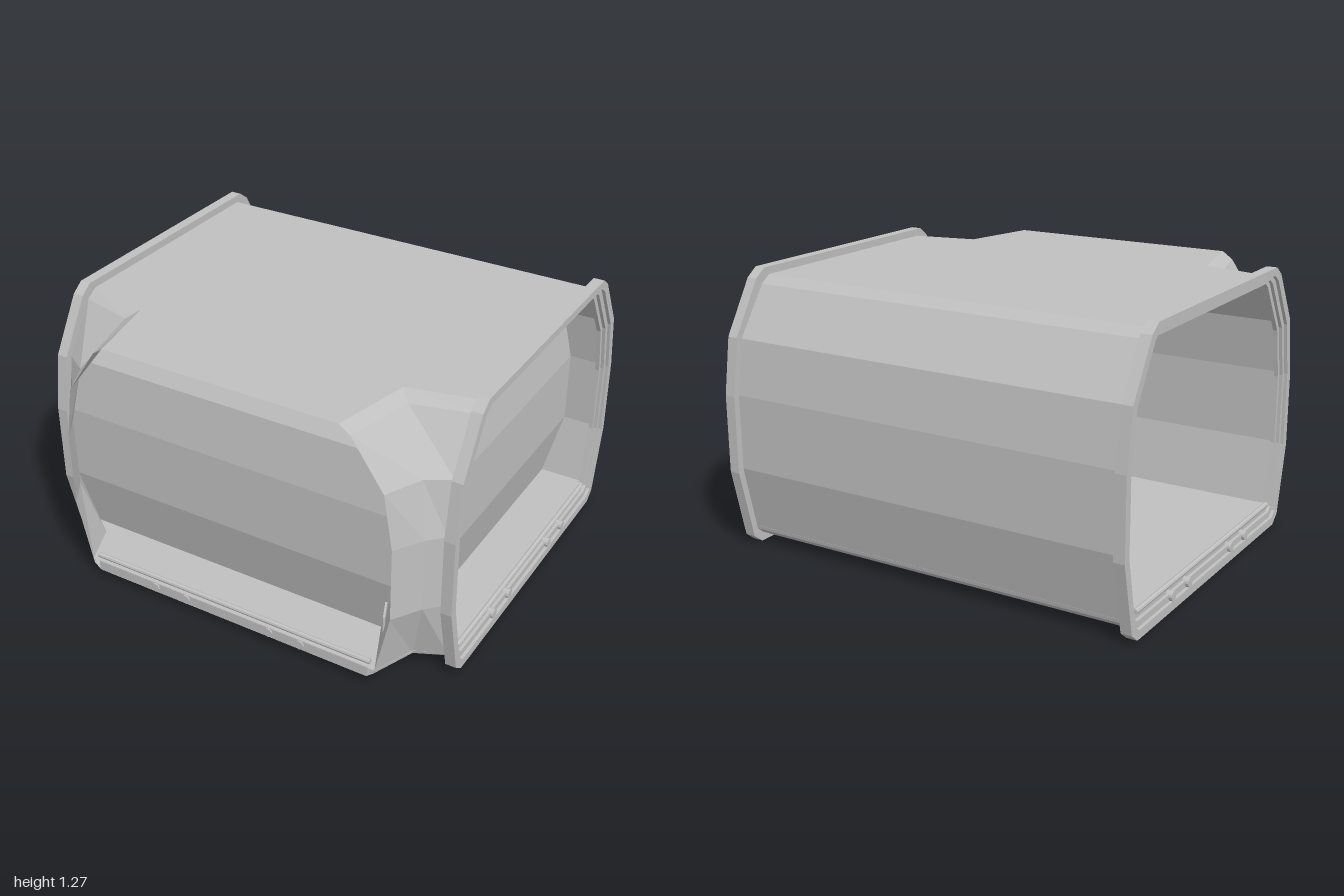
import * as THREE from 'three';

const CZ = -0.08;      // centre line of the long passage
const END = 0.95;      // where the side frames begin
const FRONT = 0.915;   // front opening

// half width and height of the faceted hull, from roof to floor
const HULL = [[0.565, 1.235], [0.615, 1.2], [0.765, 0.98], [0.805, 0.73],
  [0.805, 0.385], [0.735, 0.07], [0.70, 0.04]];
// half outlines of the stepped end frame
const RIM = [[0.595, 1.27], [0.65, 1.23], [0.795, 0.99], [0.835, 0.73], [0.835, 0.37], [0.76, 0.04], [0.71, 0]];
const STEP = [[0.575, 1.235], [0.62, 1.205], [0.758, 0.975], [0.797, 0.73], [0.797, 0.38], [0.73, 0.065], [0.695, 0.04]];
const LIP = [[0.56, 1.215], [0.59, 1.195], [0.733, 0.962], [0.775, 0.725], [0.775, 0.39], [0.712, 0.09], [0.685, 0.07]];
const HOLE = [[0.545, 1.2], [0.57, 1.18], [0.715, 0.95], [0.757, 0.72], [0.757, 0.395], [0.70, 0.105], [0.675, 0.09]];

export function createModel() {
  const grey = new THREE.MeshStandardMaterial({ color: 0xc0c0c0, side: THREE.DoubleSide });
  grey.name = 'hull grey';
  grey.flatShading = true;
  const model = new THREE.Group();
  model.name = 'corridorJunction';

  function add(name, geometry, x = 0, y = 0, z = 0, parent = model) {
    const mesh = new THREE.Mesh(geometry, grey);
    mesh.name = name;
    mesh.position.set(x, y, z);
    parent.add(mesh);
    return mesh;
  }

  // Faceted wall: each station gives [x, z] for a hull half width
  function wall(name, stations) {
    const pos = [];
    for (let j = 0; j < stations.length - 1; j++) {
      for (let i = 0; i < HULL.length - 1; i++) {
        const p = (s, k) => {
          const [x, z] = stations[s](HULL[k][0]);
          return [x, HULL[k][1], z];
        };
        const a = p(j, i), b = p(j, i + 1), c = p(j + 1, i + 1), d = p(j + 1, i);
        pos.push(...a, ...b, ...c, ...a, ...c, ...d);
      }
    }
    const g = new THREE.BufferGeometry();
    g.setAttribute('position', new THREE.Float32BufferAttribute(pos, 3));
    g.computeVertexNormals();
    add(name, g);
  }

  // Hull walls and bevelled corners
  const sideEdge = s => h => [s * END, h + CZ];
  const bevel = s => h => [s * (h + 0.08), h - 0.015];
  const frontEdge = s => h => [s * h, FRONT];
  wall('backWall', [h => [END, CZ - h], h => [-END, CZ - h]]);
  wall('leftCorner', [frontEdge(1), bevel(1), sideEdge(1)]);
  wall('rightCorner', [sideEdge(-1), bevel(-1), frontEdge(-1)]);

  // Recessed panels inside the front and left openings, and the slanted jamb
  wall('frontPanel', [sideEdge(-1), sideEdge(1)]);
  wall('sidePanel', [h => [h, h + CZ], h => [h, CZ - h]]);
  wall('frontJamb', [h => [h - 0.43 * (FRONT - h - CZ), h + CZ], frontEdge(1)]);

  // Roof, floor and underside share one plan outline
  function deck(name, h, y) {
    const half = [[END, CZ - h], [END, h + CZ], [h + 0.08, h - 0.015], [h, FRONT]];
    const plan = [...half, ...half.map(([x, z]) => [-x, z]).reverse()];
    const g = new THREE.ShapeGeometry(new THREE.Shape(plan.map(([x, z]) => new THREE.Vector2(x, -z))));
    g.rotateX(-Math.PI / 2);
    add(name, g, 0, y, 0);
  }
  deck('roof', 0.565, 1.235);
  deck('floor', 0.74, 0.088);
  deck('underside', 0.70, 0.04);

  // Front sill
  add('frontSill', new THREE.BoxGeometry(1.41, 0.05, 0.03), 0, 0.065, FRONT - 0.016);

  // Stepped frames around both ends
  const loop = half => [...half, ...half.map(([u, y]) => [-u, y]).reverse()]
    .map(([u, y]) => new THREE.Vector2(u, y));
  function ring(outer, inner, depth) {
    const shape = new THREE.Shape(loop(outer));
    shape.holes.push(new THREE.Path(loop(inner)));
    const g = new THREE.ExtrudeGeometry(shape, { depth, bevelEnabled: false });
    g.rotateY(-Math.PI / 2);
    g.translate(depth, 0, 0);
    return g;
  }
  for (const s of [1, -1]) {
    const frame = new THREE.Group();
    frame.name = s > 0 ? 'leftEndFrame' : 'rightEndFrame';
    model.add(frame);
    [[RIM, STEP, 0.05], [STEP, LIP, 0.035], [LIP, HOLE, 0.02]].forEach(([o, i, d], n) => {
      add(['outerRim', 'middleStep', 'innerLip'][n], ring(o, i, d), s > 0 ? END : -END - d, 0, CZ, frame);
    });
    // Threshold rail and pegs
    const rail = add('sideRail', new THREE.CylinderGeometry(0.012, 0.012, 1.37, 8), s * 0.968, 0.102, CZ + 0.01, frame);
    rail.rotation.x = Math.PI / 2;
    for (const z of [0.3, 0.14, -0.3, -0.46]) {
      const peg = add('sidePeg', new THREE.CylinderGeometry(0.022, 0.022, 0.05, 12), s * 0.975, 0.06, z, frame);
      peg.rotation.z = Math.PI / 2;
    }
  }

  // Front threshold rail and pegs
  add('frontRail', new THREE.CylinderGeometry(0.012, 0.012, 1.43, 8), -0.01, 0.102, 0.89).rotation.z = Math.PI / 2;
  for (const x of [-0.385, -0.22, 0.215, 0.375]) {
    add('frontPeg', new THREE.CylinderGeometry(0.022, 0.022, 0.05, 12), x, 0.065, 0.895).rotation.x = Math.PI / 2;
  }

  // Control plate on the jamb and drain under the floor
  add('controlPlate', new THREE.BoxGeometry(0.009, 0.08, 0.1), 0.695, 0.235, 0.75).rotation.y = Math.atan(0.43);
  add('drain', new THREE.CylinderGeometry(0.03, 0.03, 0.012, 12), -0.42, 0.036, 0.5);

  return model;
}
